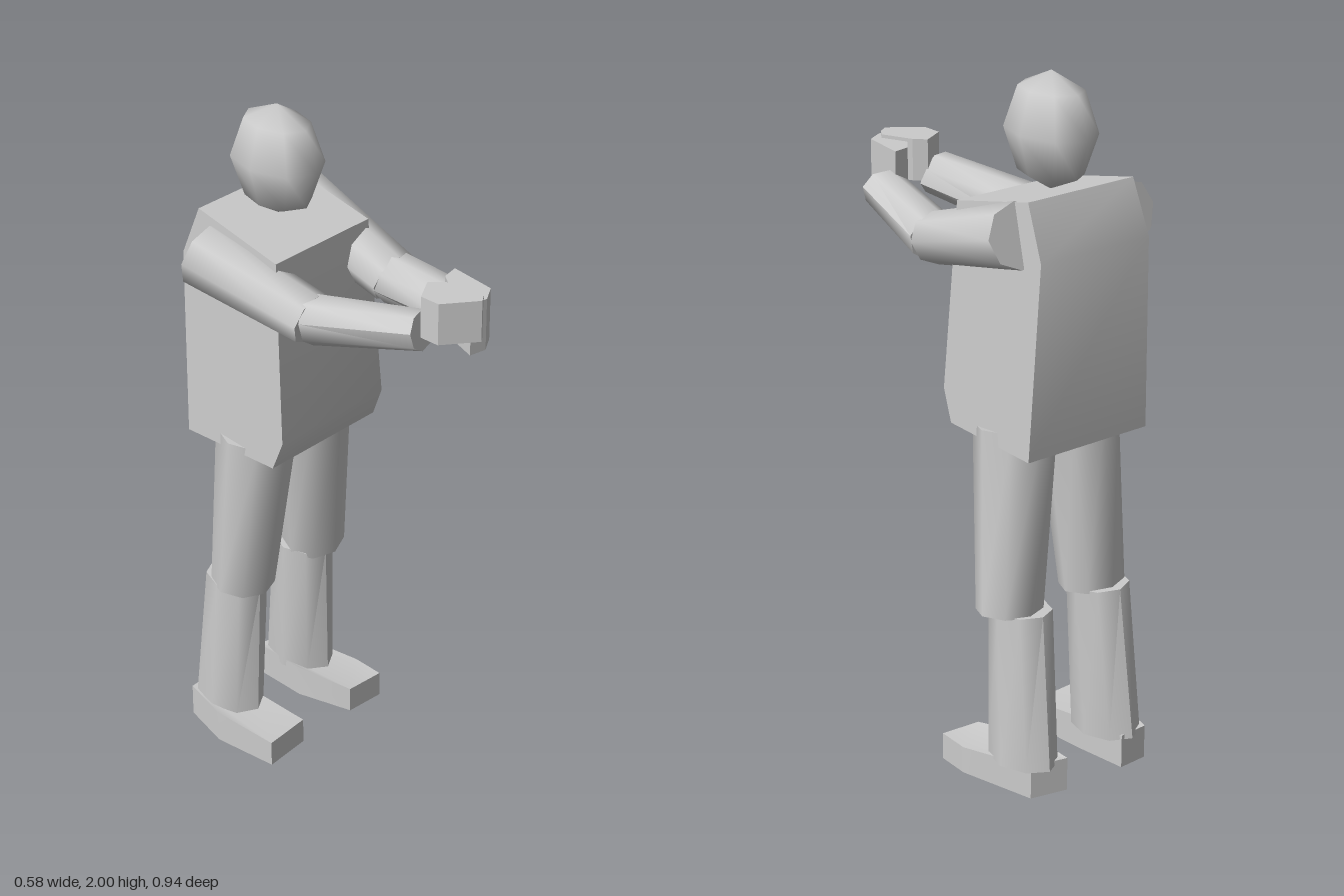
import * as THREE from 'three';
import { toCreasedNormals } from 'three/addons/utils/BufferGeometryUtils.js';

const material = new THREE.MeshStandardMaterial({ color: 0xcccccc });

function addMesh(group, name, geometry) {
  const mesh = new THREE.Mesh(geometry, material);
  mesh.name = name;
  group.add(mesh);
}

// Eight-sided limb between two points; each end has its own half width and half depth.
function limb(start, end, [w0, d0], [w1, d1]) {
  const a = new THREE.Vector3(...start), b = new THREE.Vector3(...end);
  const turn = new THREE.Quaternion().setFromUnitVectors(
    new THREE.Vector3(0, 1, 0), b.clone().sub(a).normalize());
  const geometry = new THREE.CylinderGeometry(1, 1, 1, 8);
  const pos = geometry.attributes.position, p = new THREE.Vector3();
  for (let i = 0; i < pos.count; i++) {
    p.fromBufferAttribute(pos, i);
    const t = p.y + 0.5;
    p.set(p.x * THREE.MathUtils.lerp(w0, w1, t), 0, p.z * THREE.MathUtils.lerp(d0, d1, t));
    p.applyQuaternion(turn).add(a.clone().lerp(b, t));
    pos.setXYZ(i, p.x, p.y, p.z);
  }
  return toCreasedNormals(geometry, 0.9);
}

// Upright slab with an outline given as [x, z] points.
function slab(outline, bottom, top) {
  const shape = new THREE.Shape(outline.map(([x, z]) => new THREE.Vector2(x, -z)));
  const geometry = new THREE.ExtrudeGeometry(shape, { depth: top - bottom, bevelEnabled: false });
  return geometry.rotateX(-Math.PI / 2).translate(0, bottom, 0);
}

// Side profile in [z, y], swept across the body and narrowed towards the shoulders.
function torso() {
  const profile = [[-0.1, 1.02], [-0.43, 1.01], [-0.45, 1.56], [-0.39, 1.71],
    [-0.1, 1.645], [-0.065, 1.11]];
  const shape = new THREE.Shape(profile.map(([z, y]) => new THREE.Vector2(z, y)));
  const geometry = new THREE.ExtrudeGeometry(shape, { depth: 2, bevelEnabled: false });
  geometry.rotateY(-Math.PI / 2).translate(1, 0, 0);
  const pos = geometry.attributes.position;
  for (let i = 0; i < pos.count; i++) {
    const halfWidth = THREE.MathUtils.mapLinear(pos.getY(i), 1.01, 1.71, 0.205, 0.178);
    pos.setX(i, 0.01 + pos.getX(i) * halfWidth);
  }
  return toCreasedNormals(geometry, 0.6);
}

// Raise the rear of a foot slightly so its top slopes down to the toes.
function foot(outline) {
  const geometry = slab(outline, 0, 0.08);
  const pos = geometry.attributes.position;
  for (let i = 0; i < pos.count; i++) {
    if (pos.getY(i) > 0.04 && pos.getZ(i) < -0.25) pos.setY(i, 0.1);
  }
  return toCreasedNormals(geometry, 0.4);
}

export function createModel() {
  const model = new THREE.Group();
  model.name = 'figure';

  // Head and body
  const head = new THREE.SphereGeometry(1, 8, 4);
  head.scale(0.105, 0.16, 0.15).translate(0.005, 1.84, -0.26);
  addMesh(model, 'head', head);
  addMesh(model, 'torso', torso());

  // Joints and outlines of each side, as the pose is not symmetrical
  const sides = [
    {
      name: 'left',
      hip: [0.118, 1.04, -0.255], knee: [0.172, 0.52, -0.3],
      shin: [0.15, 0.53, -0.322], ankle: [0.163, 0.08, -0.35],
      shoulder: [0.195, 1.615, -0.36], elbow: [0.178, 1.51, 0.01], wrist: [0.107, 1.555, 0.33],
      foot: [[0.13, -0.11], [0.25, -0.1], [0.255, -0.2], [0.2, -0.43], [0.09, -0.455], [0.085, -0.28]],
      hand: [[0.02, 0.34], [0.05, 0.3], [0.1, 0.29], [0.08, 0.43], [0.03, 0.46], [-0.02, 0.45]],
      handHeight: [1.52, 1.67],
    },
    {
      name: 'right',
      hip: [-0.1, 1.04, -0.255], knee: [-0.123, 0.52, -0.3],
      shin: [-0.127, 0.53, -0.322], ankle: [-0.14, 0.08, -0.35],
      shoulder: [-0.195, 1.595, -0.35], elbow: [-0.157, 1.52, 0.02], wrist: [-0.07, 1.57, 0.33],
      foot: [[-0.22, -0.1], [-0.075, -0.11], [-0.09, -0.3], [-0.11, -0.455], [-0.2, -0.45], [-0.24, -0.3]],
      hand: [[-0.09, 0.34], [-0.02, 0.3], [0.01, 0.33], [0.05, 0.42], [0.03, 0.45], [0, 0.47], [-0.09, 0.4]],
      handHeight: [1.56, 1.68],
    },
  ];

  for (const s of sides) {
    // Leg
    addMesh(model, s.name + 'Thigh', limb(s.knee, s.hip, [0.095, 0.09], [0.114, 0.115]));
    addMesh(model, s.name + 'Shin', limb(s.ankle, s.shin, [0.08, 0.117], [0.082, 0.095]));
    addMesh(model, s.name + 'Foot', foot(s.foot));
    // Arm
    addMesh(model, s.name + 'UpperArm', limb(s.shoulder, s.elbow, [0.094, 0.09], [0.08, 0.072]));
    addMesh(model, s.name + 'Forearm', limb(s.elbow, s.wrist, [0.077, 0.07], [0.07, 0.056]));
    addMesh(model, s.name + 'Hand', slab(s.hand, ...s.handHeight));
  }
  return model;
}
